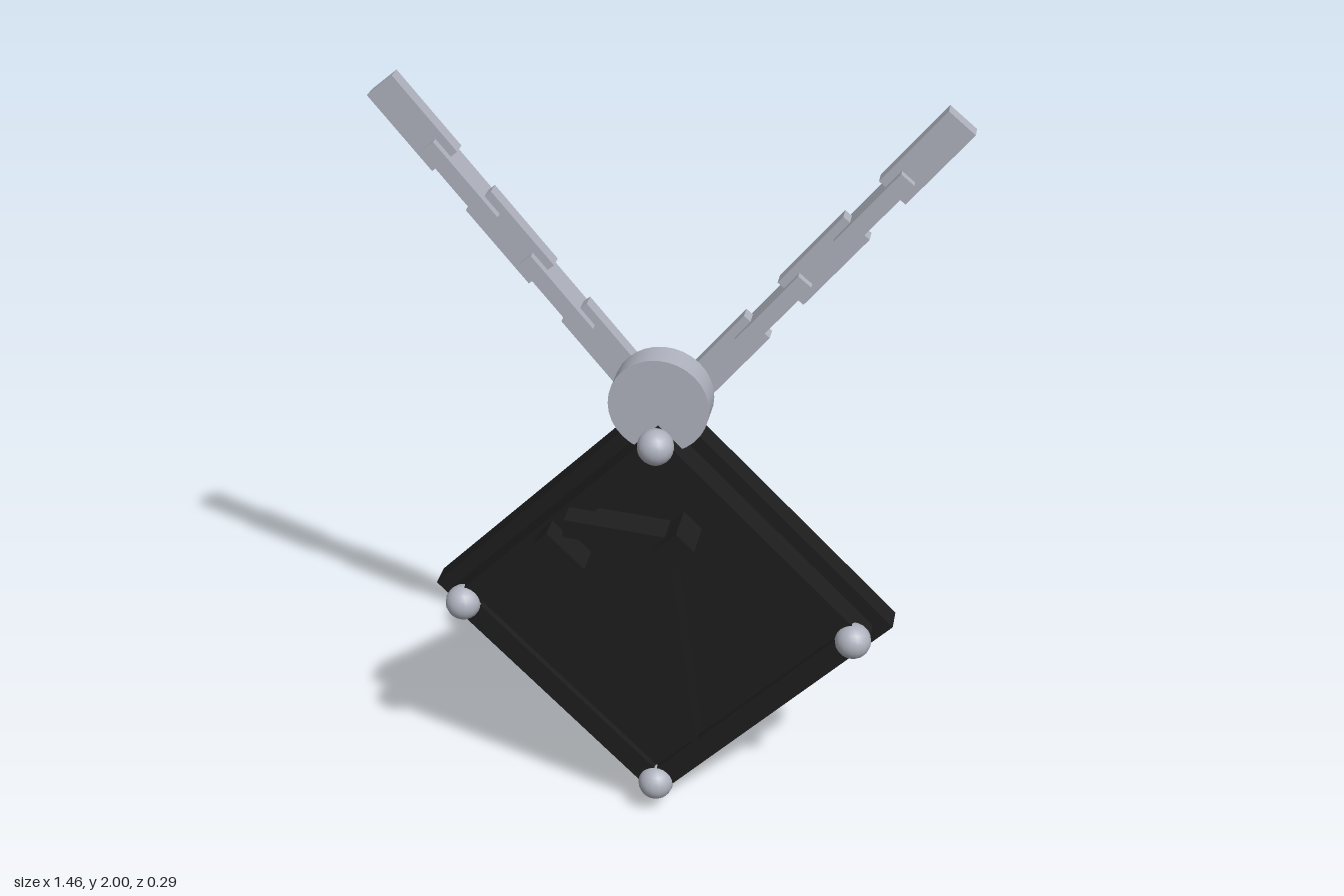
import * as THREE from 'three';

export function createModel() {
  const black = new THREE.MeshStandardMaterial({ color: 0x1d1d1d });
  black.name = 'black';
  const steel = new THREE.MeshStandardMaterial({ color: 0xaeb2bd });
  steel.name = 'steel';

  const model = new THREE.Group();
  model.name = 'hangingPlaque';
  const CY = 0.607; // centre height of the diamond

  const add = (name, geometry, material, x, y, z, parent = model) => {
    const mesh = new THREE.Mesh(geometry, material);
    mesh.name = name;
    mesh.position.set(x, y, z);
    parent.add(mesh);
    return mesh;
  };
  const diamond = (PathType, r) => new PathType([
    new THREE.Vector2(r, 0), new THREE.Vector2(0, r),
    new THREE.Vector2(-r, 0), new THREE.Vector2(0, -r),
  ]);
  const slab = (shape, depth) => new THREE.ExtrudeGeometry(shape, { depth, bevelEnabled: false });

  // Backing board, raised rim and inset panel
  add('backBoard', slab(diamond(THREE.Shape, 0.607), 0.072), black, 0, CY, -0.107);
  const rim = diamond(THREE.Shape, 0.555);
  rim.holes.push(diamond(THREE.Path, 0.47));
  add('rim', slab(rim, 0.085), black, 0, CY, -0.035);
  add('panel', slab(diamond(THREE.Shape, 0.47), 0.065), black, 0, CY, -0.035);

  // Round studs on the corners of the rim
  const studGeometry = new THREE.SphereGeometry(0.047, 16, 12);
  for (const [x, y] of [[1, 0], [-1, 0], [0, 1], [0, -1]]) {
    add('cornerStud', studGeometry, steel, x * 0.513, CY + y * 0.513, 0.046);
  }

  // Raised bent-bar relief: [name, x, y, length, width, angle, back z, front z]
  const bars = [
    ['reliefHandle', 0.058, 0.585, 0.6, 0.05, -1.444, 0.03, 0.117],
    ['reliefArm', -0.095, 0.89, 0.26, 0.05, -0.09, 0.03, 0.117],
    ['reliefTip', -0.237, 0.817, 0.135, 0.05, -0.78, 0.03, 0.117],
    ['reliefKnob', 0.063, 0.88, 0.085, 0.066, 0.78, 0.03, 0.146],
  ];
  for (const [name, x, y, length, width, angle, z0, z1] of bars) {
    const bar = add(name, new THREE.BoxGeometry(length, width, z1 - z0), black, x, y, (z0 + z1) / 2);
    bar.rotation.z = angle;
  }

  // Hanging disc
  const disc = add('hangerDisc', new THREE.CylinderGeometry(0.128, 0.128, 0.08, 32), steel, 0, 1.213, -0.03);
  disc.rotation.x = Math.PI / 2;

  // Two chains of solid links, each link turned a quarter from the last
  const linkGeometry = new THREE.BoxGeometry(0.24, 0.085, 0.042);
  for (const side of [1, -1]) {
    const chain = new THREE.Group();
    chain.name = side > 0 ? 'leftChain' : 'rightChain';
    chain.position.set(side * 0.153, 1.318, -0.102);
    chain.rotation.z = side > 0 ? 0.876 : Math.PI - 0.876;
    model.add(chain);
    for (let i = 0; i < 5; i++) {
      const link = add('chainLink', linkGeometry, steel, i * 0.183, 0, 0, chain);
      link.rotation.x = (i % 2) * Math.PI / 2;
    }
  }

  return model;
}
